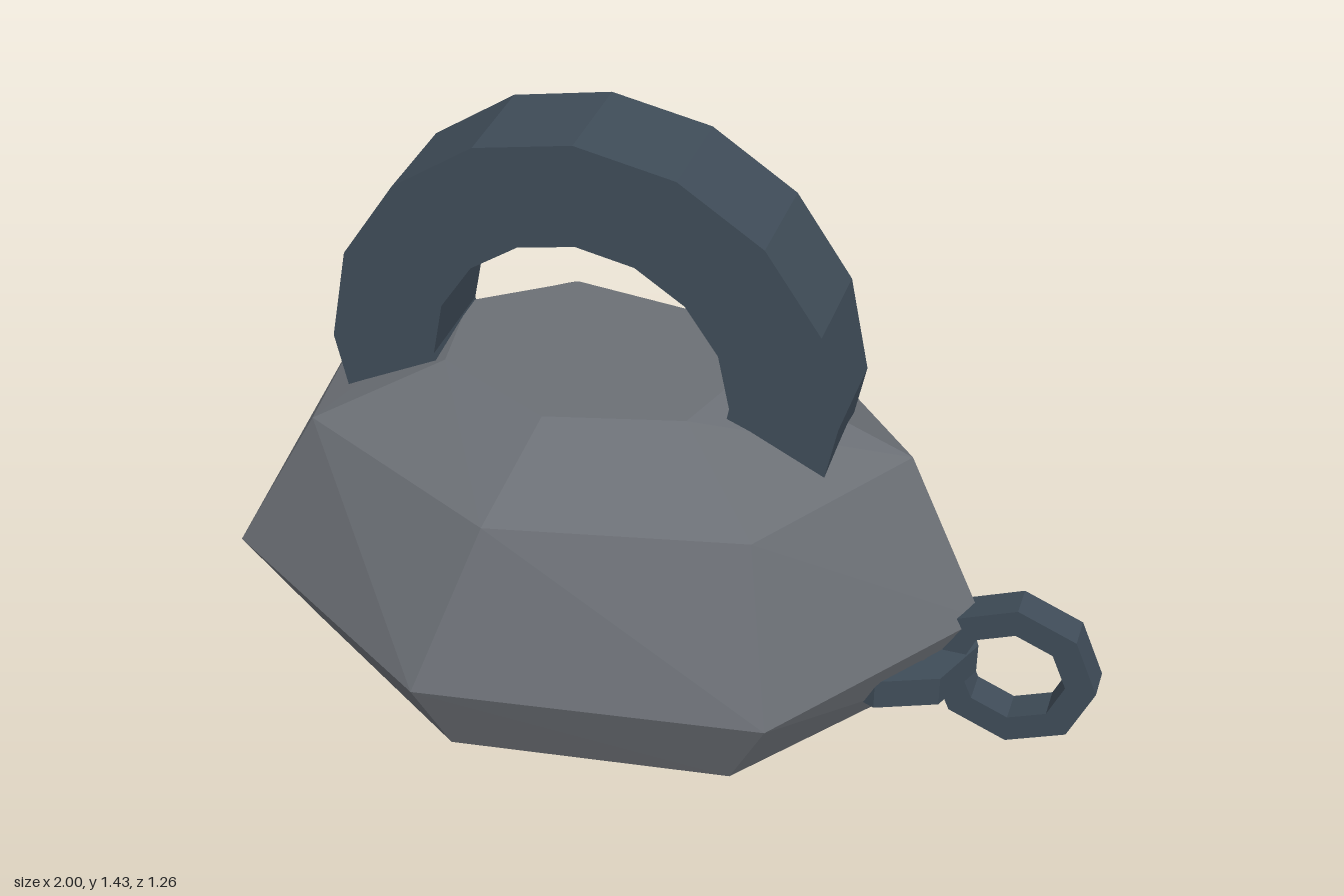
import * as THREE from 'three';

const stone = new THREE.MeshStandardMaterial({ color: 0x6b6f75, flatShading: true });
const iron = new THREE.MeshStandardMaterial({ color: 0x3f4c58, flatShading: true });

// Faceted body lofted through seven-sided rings, each listed as [x, z] from front left to right
function bodyGeometry() {
  const rings = [
    { y: 0.075, pts: [[-0.85, 0.21], [-0.37, 0.525], [0.26, 0.435], [0.59, 0], [0.26, -0.39], [-0.37, -0.52], [-0.85, -0.21]] },
    { y: 0.305, pts: [[-1, 0.26], [-0.41, 0.63], [0.36, 0.515], [0.72, 0], [0.36, -0.475], [-0.41, -0.635], [-1, -0.26]] },
    { y: 0.69, pts: [[-0.79, 0.24], [-0.28, 0.495], [0.28, 0.37], [0.53, -0.035], [0.19, -0.39], [-0.43, -0.475], [-0.84, -0.15]] },
    { y: 0.845, pts: [[-0.5, 0.14], [-0.22, 0.275], [0.08, 0.195], [0.15, -0.03], [0, -0.215], [-0.33, -0.255], [-0.54, -0.1]] },
  ];
  const n = 7;
  const positions = rings.flatMap(({ y, pts }) => pts.flatMap(([x, z]) => [x, y, z]));
  const index = [];
  // side walls
  for (let r = 0; r < rings.length - 1; r++) {
    for (let i = 0; i < n; i++) {
      const j = (i + 1) % n;
      const a = r * n + i, b = r * n + j;
      index.push(a, b, a + n, b, b + n, a + n);
    }
  }
  // flat bottom and top
  const top = (rings.length - 1) * n;
  for (let i = 1; i < n - 1; i++) {
    index.push(0, i + 1, i, top, top + i, top + i + 1);
  }
  const geometry = new THREE.BufferGeometry();
  geometry.setAttribute('position', new THREE.Float32BufferAttribute(positions, 3));
  geometry.setIndex(index);
  const flat = geometry.toNonIndexed();
  flat.computeVertexNormals();
  return flat;
}

// Square-section ring with few sides; upright rings have their axis along z
function ring(name, outer, inner, width, sides, position, upright = true) {
  const h = width / 2;
  const profile = [[inner, -h], [outer, -h], [outer, h], [inner, h], [inner, -h]]
    .map(([x, y]) => new THREE.Vector2(x, y));
  const geometry = new THREE.LatheGeometry(profile, sides).toNonIndexed();
  geometry.computeVertexNormals();
  if (upright) geometry.rotateX(Math.PI / 2);
  const mesh = new THREE.Mesh(geometry, iron);
  mesh.name = name;
  mesh.position.set(...position);
  return mesh;
}

export function createModel() {
  const group = new THREE.Group();
  group.name = 'weight';

  const body = new THREE.Mesh(bodyGeometry(), stone);
  body.name = 'body';
  group.add(body);

  // Large carrying ring sunk into the top
  group.add(ring('handle', 0.586, 0.343, 0.245, 16, [-0.187, 0.85, 0.01]));

  // Chain links alternate upright and flat, running out of the body
  const chain = new THREE.Group();
  chain.name = 'chain';
  [[0.245, 0.195], [0.527, 0.195], [0.807, 0.195]].forEach(([x, y], i) => {
    chain.add(ring(`chainLink${i + 1}`, 0.193, 0.123, 0.077, 8, [x, y, 0.012], i !== 1));
  });
  group.add(chain);
  return group;
}
